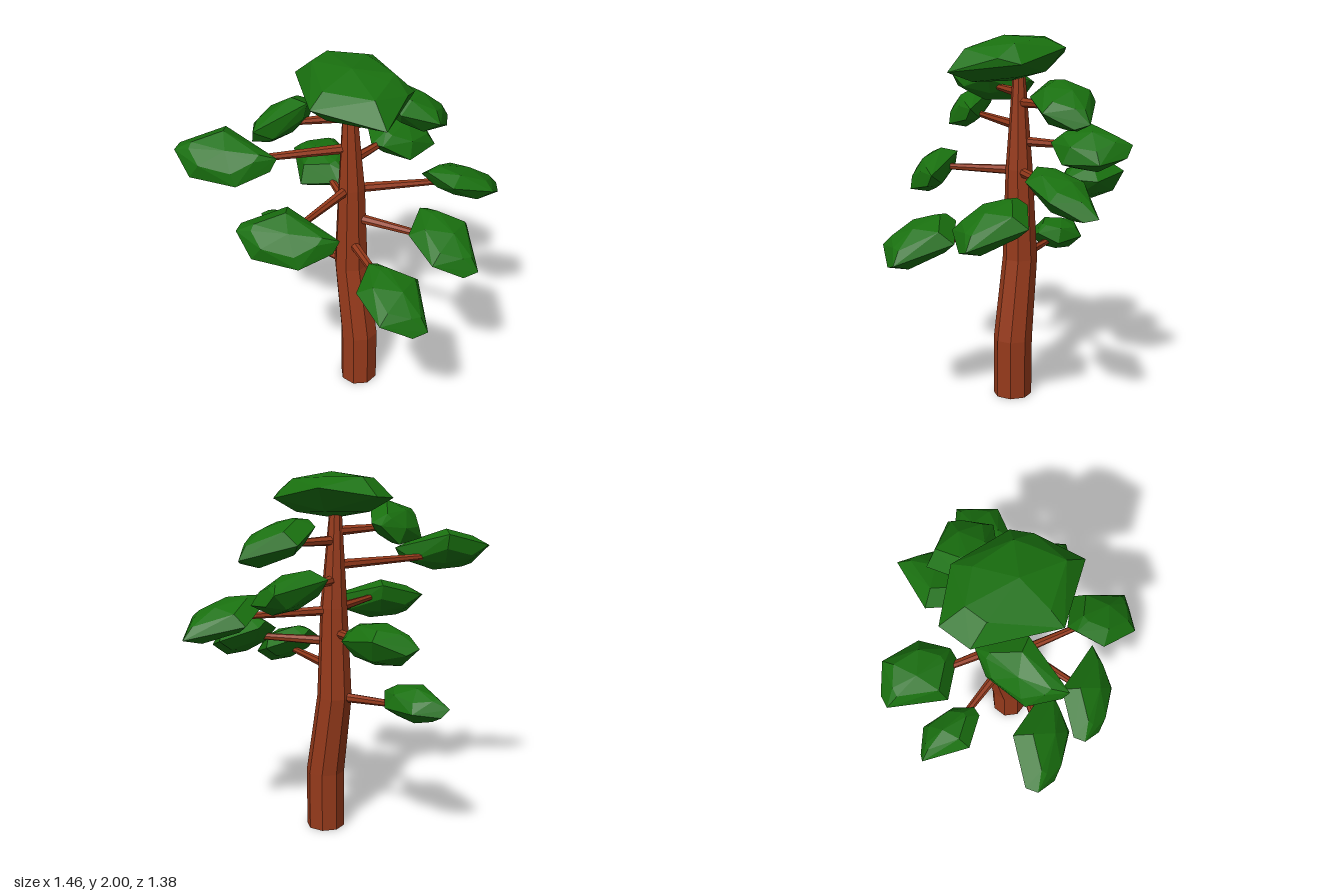
import * as THREE from 'three';
import { ConvexGeometry } from 'three/addons/geometries/ConvexGeometry.js';

const bark = new THREE.MeshStandardMaterial({ color: 0x963a1b, flatShading: true, side: THREE.DoubleSide });
const leaf = new THREE.MeshStandardMaterial({ color: 0x19700f, flatShading: true });

// Faceted tube through rings of [x, y, z, radius], open at the foot and closed at the tip
function trunkGeometry(rings, sides) {
  const pos = [], idx = [];
  for (const [x, y, z, r] of rings) {
    for (let i = 0; i < sides; i++) {
      const a = ((i + 0.5) / sides) * Math.PI * 2;
      pos.push(x + r * Math.sin(a), y, z + r * Math.cos(a));
    }
  }
  for (let j = 0; j < rings.length - 1; j++) {
    for (let i = 0; i < sides; i++) {
      const a = j * sides + i, b = j * sides + (i + 1) % sides;
      idx.push(a, b, b + sides, a, b + sides, a + sides);
    }
  }
  const top = (rings.length - 1) * sides;
  for (let i = 1; i < sides - 1; i++) idx.push(top, top + i, top + i + 1);
  const g = new THREE.BufferGeometry();
  g.setAttribute('position', new THREE.Float32BufferAttribute(pos, 3));
  g.setIndex(idx);
  g.computeVertexNormals();
  return g;
}

// Lens-shaped foliage: irregular rim plus smaller rings above and below
function padGeometry(rim, half) {
  const pts = [new THREE.Vector3(0.01, half, 0), new THREE.Vector3(-0.01, -half, 0)];
  rim.forEach(([x, z], i) => {
    pts.push(new THREE.Vector3(x, half * (i % 2 ? 0.18 : -0.18), z));
    pts.push(new THREE.Vector3(x * 0.68, half * 0.67, z * 0.68));
    pts.push(new THREE.Vector3(x * 0.62, half * -0.75, z * 0.62));
  });
  return new ConvexGeometry(pts);
}

// Tapered branch between two points
function branch(from, to) {
  const dir = to.clone().sub(from);
  const mesh = new THREE.Mesh(new THREE.CylinderGeometry(0.017, 0.028, dir.length(), 7), bark);
  mesh.position.copy(from).add(to).multiplyScalar(0.5);
  mesh.quaternion.setFromUnitVectors(new THREE.Vector3(0, 1, 0), dir.normalize());
  mesh.name = 'branch';
  return mesh;
}

export function createModel() {
  const tree = new THREE.Group();
  tree.name = 'tree';

  const trunk = new THREE.Mesh(trunkGeometry([
    [0.038, 0, 0, 0.107],
    [0.038, 0.33, -0.003, 0.107],
    [-0.028, 0.78, -0.012, 0.096],
    [-0.022, 1.28, -0.01, 0.074],
    [-0.03, 1.84, -0.005, 0.03],
  ], 8), bark);
  trunk.name = 'trunk';
  tree.add(trunk);

  // centre, yaw, size (length, thickness, width), slopes along x and z, branch height
  const pads = [
    { at: [-0.525, 0.815, 0.005], yaw: Math.PI, size: [0.95, 0.9, 0.7], sx: 0.05, sz: 0.25, h: 0.78 },
    { at: [-0.445, 1.175, -0.24], yaw: Math.PI, size: [1.05, 1.1, 0.97], sx: 0.08, sz: -0.2, h: 1.14 },
    { at: [-0.4, 1.555, 0.525], yaw: 0.64, size: [1.22, 0.9, 0.83], sx: -0.5, sz: -0.75, h: 1.51 },
    { at: [0.01, 1.235, 0.525], yaw: 0.64, size: [1.22, 0.9, 0.83], sx: -0.5, sz: -0.75, h: 1.27 },
    { at: [-0.235, 1.725, 0.28], yaw: -1.27, size: [1.15, 0.85, 0.82], sx: 0.95, sz: -0.1, h: 1.69 },
    { at: [0.513, 0.952, 0.285], yaw: 0, size: [1.08, 0.92, 0.99], sx: -0.46, sz: -0.1, h: 0.935 },
    { at: [0.513, 1.08, -0.145], yaw: 0, size: [1.08, 0.92, 0.99], sx: -0.46, sz: -0.1, h: 1.09 },
    { at: [0.375, 1.25, -0.48], yaw: 1.3, size: [1.15, 0.8, 0.9], sx: -0.08, sz: 0.42, h: 1.265 },
    { at: [-0.03, 1.425, -0.435], yaw: 1.95, size: [1, 0.95, 1], sx: -0.45, sz: 0.1, h: 1.43 },
    { at: [0.115, 1.655, -0.36], yaw: 1.15, size: [1, 0.95, 1], sx: -0.28, sz: 0.4, h: 1.64 },
  ];
  const padShape = padGeometry([
    [-0.01, -0.205], [0.215, 0.02], [0.185, 0.09], [0.05, 0.2], [-0.15, 0.125], [-0.215, -0.04], [-0.2, -0.1],
  ], 0.1);
  const up = new THREE.Vector3(0, 1, 0);
  for (const { at, yaw, size, sx, sz, h } of pads) {
    const pad = new THREE.Mesh(padShape, leaf);
    pad.name = 'foliagePad';
    pad.position.set(...at);
    pad.scale.set(...size);
    const normal = new THREE.Vector3(-sx, 1, -sz).normalize();
    pad.quaternion.setFromUnitVectors(up, normal)
      .multiply(new THREE.Quaternion().setFromAxisAngle(up, yaw));
    tree.add(pad);

    // Branch from the trunk core into the pad
    const start = new THREE.Vector3(-0.03, h, -0.008);
    const end = start.clone().lerp(new THREE.Vector3(at[0], h, at[2]), 0.85);
    end.y = h + (at[1] - h) * 0.3;
    tree.add(branch(start, end));
  }

  // Large flat crown
  const crown = new THREE.Mesh(padGeometry([
    [-0.36, -0.16], [-0.1, -0.3], [0.24, -0.21], [0.28, -0.1], [0.355, 0.16], [-0.01, 0.295], [-0.355, 0.02],
  ], 0.122), leaf);
  crown.name = 'crown';
  crown.position.set(0.015, 1.875, 0.04);
  crown.rotation.set(0.1, 0, -0.06);
  tree.add(crown);

  return tree;
}
